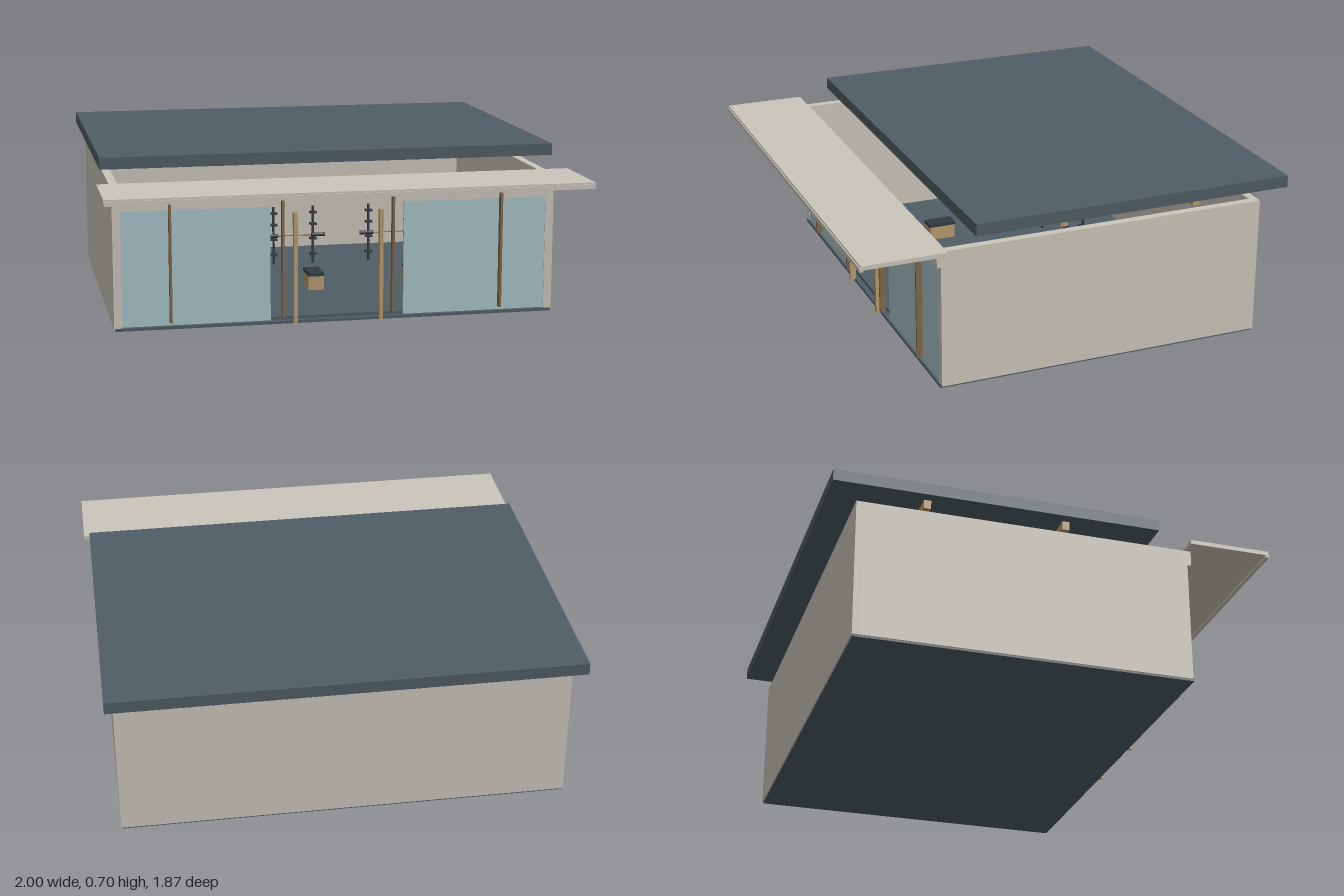
import * as THREE from 'three';

const mat = (name, color, opts = {}) => {
  const m = new THREE.MeshStandardMaterial({ color, ...opts });
  m.name = name;
  return m;
};

export function createModel() {
  const root = new THREE.Group();
  root.name = 'trainingPavilion';
  const plaster = mat('plaster', 0xcbc6ba);
  const slate = mat('slate', 0x4f5d65);
  const glass = mat('glass', 0xa9c4c8);
  const wood = mat('lightWood', 0xb89b6c);
  const bronze = mat('bronze', 0x80684a);
  const iron = mat('darkIron', 0x303b41);

  // Box given by its lower and upper limits on each axis
  const box = (name, m, [x0, x1], [y0, y1], [z0, z1], parent = root) => {
    const mesh = new THREE.Mesh(new THREE.BoxGeometry(x1 - x0, y1 - y0, z1 - z0), m);
    mesh.position.set((x0 + x1) / 2, (y0 + y1) / 2, (z0 + z1) / 2);
    mesh.name = name;
    parent.add(mesh);
    return mesh;
  };
  // Rod along x or y
  const rod = (name, m, r, length, [x, y, z], alongX, parent) => {
    const mesh = new THREE.Mesh(new THREE.CylinderGeometry(r, r, length, 12), m);
    if (alongX) mesh.rotation.z = Math.PI / 2;
    mesh.position.set(x, y, z);
    mesh.name = name;
    parent.add(mesh);
  };

  // Base slab and inner floor
  box('baseSlab', slate, [-0.935, 0.935], [0, 0.012], [-0.825, 0.59]);
  box('innerFloor', slate, [-0.905, 0.905], [0.012, 0.025], [-0.795, 0.565]);

  // Back wall, front lintel and its lower strip
  box('backWall', plaster, [-0.94, 0.94], [0.008, 0.597], [-0.83, -0.795]);
  box('lintel', plaster, [-0.94, 0.94], [0.53, 0.597], [0.56, 0.602]);
  box('lintelStrip', plaster, [-0.905, 0.905], [0.5, 0.53], [0.562, 0.582]);

  // Mirrored side walls, shopfront glass, mullions and door posts
  for (const s of [-1, 1]) {
    const span = (a, b) => (s > 0 ? [a, b] : [-b, -a]);
    box('sideWall', plaster, span(0.905, 0.94), [0.008, 0.597], [-0.795, 0.585]);
    box('frontGlass', glass, span(0.285, 0.912), [0.015, 0.5], [0.574, 0.582]);
    for (const x of [0.235, 0.705])
      box('mullion', bronze, span(x - 0.005, x + 0.005), [0.03, 0.55], [0.582, 0.608]);
    box('doorPost', wood, span(0.175, 0.191), [0.004, 0.475], [0.583, 0.61]);
  }

  // Entrance canopy with a drip edge
  box('canopy', plaster, [-1, 1], [0.6, 0.618], [0.58, 0.93]);
  box('canopyLip', plaster, [-0.997, 0.997], [0.592, 0.61], [0.918, 0.935]);

  // Raised roof on two cross beams
  box('roof', slate, [-0.975, 0.975], [0.655, 0.705], [-0.935, 0.45]);
  for (const z of [0.055, -0.535])
    box('roofBeam', wood, [-0.93, 0.93], [0.617, 0.655], [z - 0.015, z + 0.015]);

  // Three training stations: rack, bar with weights, bench
  for (const x of [-0.46, 0, 0.46]) {
    const station = new THREE.Group();
    station.name = 'trainingStation';
    station.position.x = x;
    root.add(station);
    for (const s of [-1, 1]) {
      const px = s * 0.095;
      box('rackUpright', iron, [px - 0.005, px + 0.005], [0.025, 0.3], [-0.425, -0.415], station);
      for (const y of [0.07, 0.145, 0.215, 0.27])
        box('rackHook', iron, [px - 0.016, px + 0.016], [y - 0.004, y + 0.004], [-0.43, -0.4], station);
      rod('barWeight', iron, 0.009, 0.065, [s * 0.112, 0.168, -0.385], true, station);
    }
    rod('bar', bronze, 0.003, 0.29, [0, 0.168, -0.385], true, station);
    box('benchBody', wood, [-0.035, 0.035], [0.025, 0.088], [0.01, 0.13], station);
    box('benchPad', iron, [-0.035, 0.035], [0.088, 0.102], [0.005, 0.135], station);
  }
  return root;
}
